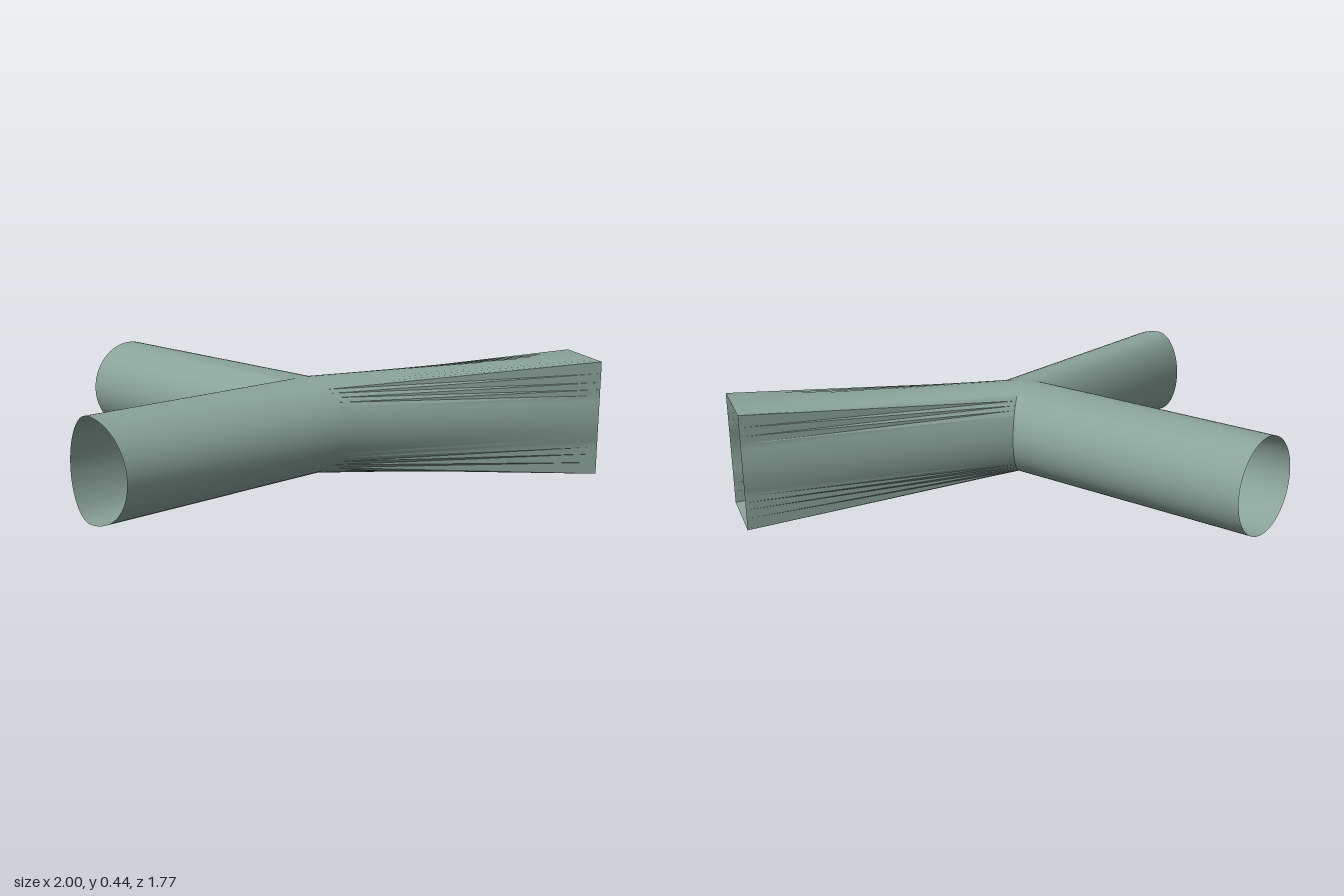
import * as THREE from 'three';
import { mergeGeometries, toCreasedNormals } from 'three/addons/utils/BufferGeometryUtils.js';

const R = 0.18, CY = 0.2175;           // pipe radius and axis height
const JX = -0.035, JZ = 0.204;         // point where the three legs meet
const HW = 0.1435, HH = 0.2175;        // half width and height of the square mouth

// Seam arms in plan: each is shared by two neighbouring legs
const backLeft = [-R, -0.104], backRight = [R, -0.104], front = [0, 0.208];

// Ring angles, with a vertex exactly on each corner direction of the mouth
const corner = Math.atan2(HH, HW);
const quarter = [];
for (let i = 0; i < 9; i++) quarter.push(corner * i / 9);
for (let i = 0; i < 6; i++) quarter.push(corner + (Math.PI / 2 - corner) * i / 6);
const angles = [
  ...quarter,
  Math.PI / 2, ...quarter.slice(1).reverse().map(a => Math.PI - a),
  ...quarter.map(a => Math.PI + a),
  Math.PI * 1.5, ...quarter.slice(1).reverse().map(a => Math.PI * 2 - a),
];

// Mitred mouth of a leg: one half ring on each of its two seam arms
function seamPoint(p, q, a) {
  const c = Math.cos(a), arm = c >= 0 ? p : q, k = Math.abs(c);
  return [JX + arm[0] * k, CY + R * Math.sin(a), JZ + arm[1] * k];
}

// Ruled wall from the seam ring to the end ring
function leg(p, q, endPoint) {
  const pos = [];
  const n = angles.length;
  for (let i = 0; i < n; i++) {
    const t0 = angles[i], t1 = angles[(i + 1) % n];
    const a = seamPoint(p, q, t0), b = seamPoint(p, q, t1);
    const c = endPoint(a, t0), d = endPoint(b, t1);
    pos.push(...a, ...c, ...b, ...b, ...c, ...d);
  }
  const g = new THREE.BufferGeometry();
  g.setAttribute('position', new THREE.Float32BufferAttribute(pos, 3));
  return g;
}

// Point on the rectangular mouth lying in the same direction as the ring angle
function mouthPoint(_, a) {
  const c = Math.cos(a), s = Math.sin(a);
  const k = 1 / Math.max(Math.abs(c) / HW, Math.abs(s) / HH);
  const u = c * k;
  return [0.928 - 0.5 * u, CY + s * k, 0.759 + 0.866 * u];
}

export function createModel() {
  const group = new THREE.Group();
  group.name = 'yDuctJunction';
  const paint = new THREE.MeshStandardMaterial({ color: 0x8aa39a, side: THREE.DoubleSide });
  paint.name = 'sage grey';

  const legs = [
    ['sidePipe', leg(backLeft, front, ([, y, z]) => [-1, y, z])],
    ['backPipe', leg(backRight, backLeft, ([x, y]) => [x, y, -0.885])],
    ['squareMouthBranch', leg(front, backRight, mouthPoint)],
  ];

  // Shade the legs together so the outer bend is smooth and the seams stay sharp
  const shaded = toCreasedNormals(mergeGeometries(legs.map(l => l[1])), 0.6);
  let start = 0;
  for (const [name, g] of legs) {
    const count = g.attributes.position.count;
    const normals = shaded.attributes.normal.array.slice(start * 3, (start + count) * 3);
    g.setAttribute('normal', new THREE.BufferAttribute(normals, 3));
    start += count;
    const mesh = new THREE.Mesh(g, paint);
    mesh.name = name;
    group.add(mesh);
  }
  return group;
}
